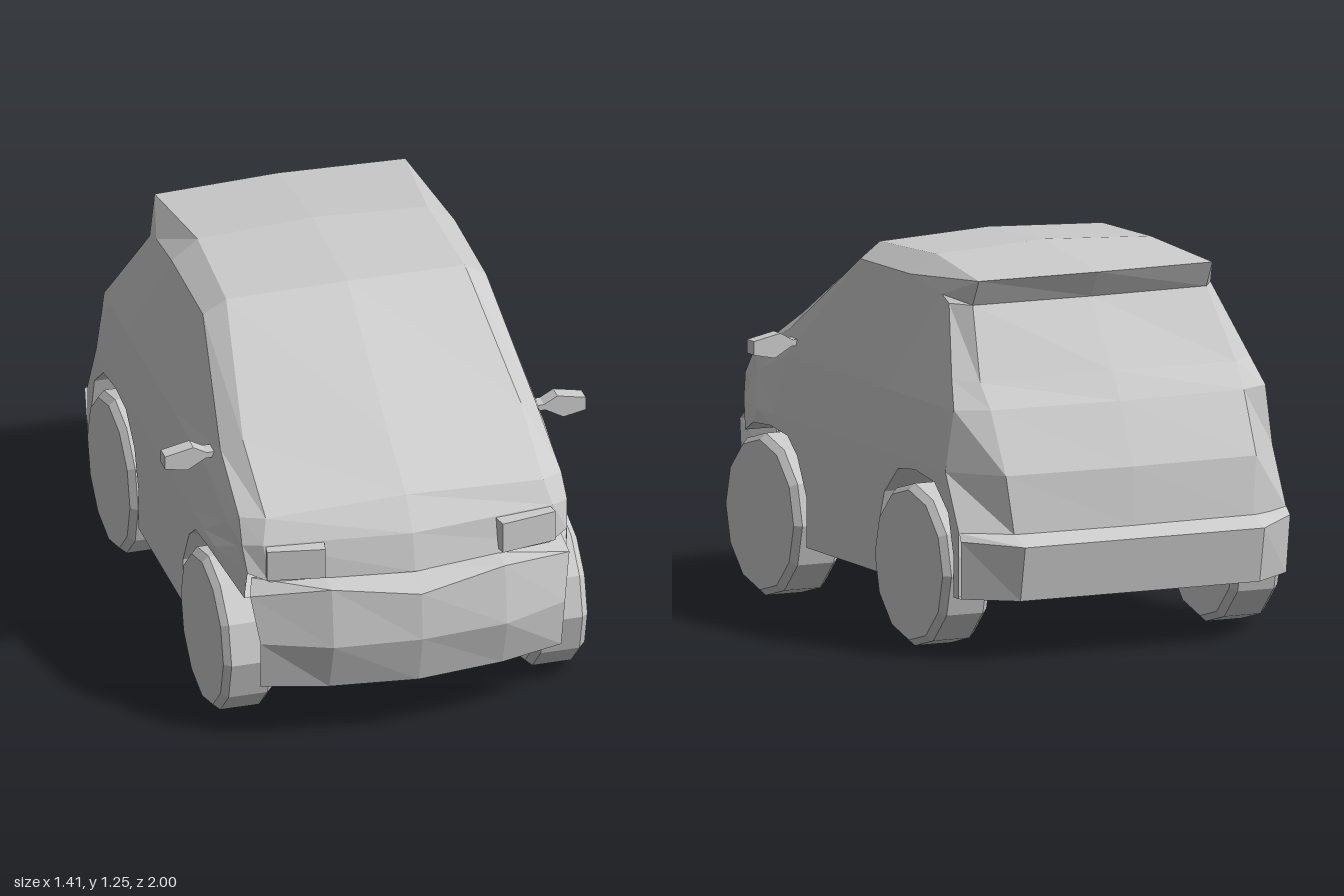
import * as THREE from 'three';

const mat = new THREE.MeshStandardMaterial({ color: 0xcccccc, flatShading: true, side: THREE.DoubleSide });

function mesh(name, geo, parent) {
  const m = new THREE.Mesh(geo, mat);
  m.name = name;
  parent.add(m);
  return m;
}

// Skin a grid of [x, y, z] rows
function skin(rows) {
  const n = rows[0].length, index = [];
  for (let i = 0; i < rows.length - 1; i++) {
    for (let j = 0; j < n - 1; j++) {
      const a = i * n + j, b = a + 1, c = a + n, d = c + 1;
      index.push(a, b, c, b, d, c);
    }
  }
  const g = new THREE.BufferGeometry();
  g.setAttribute('position', new THREE.Float32BufferAttribute(rows.flat(2), 3));
  g.setIndex(index);
  const flat = g.toNonIndexed();
  flat.computeVertexNormals();
  return flat;
}

// Complete a half row (centre outwards) with its mirror image
const mirrorRow = row => [...row.slice(1).reverse().map(([x, y, z]) => [-x, y, z]), ...row];

const toShape = points => new THREE.Shape(points.map(p => new THREE.Vector2(...p)));

// Half width of the lower body, tapering toward the nose
const sideX = z => 0.588 - Math.max(0, z - 0.62) * 0.265;

// Half row of the upper body: centre, panel edge, bevel edge, then waist and lower side by rule
function bodyRow([cy, cz, ax, ay, az, bx, by, bz, lowZ]) {
  const lowY = Math.min(0.6, by);
  const waistY = Math.min(0.8, THREE.MathUtils.lerp(lowY, by, 0.7));
  const t = by > lowY ? (waistY - lowY) / (by - lowY) : 0;
  const waistZ = THREE.MathUtils.lerp(lowZ, bz, t);
  const waistX = sideX(waistZ) - 0.12 * (waistY - lowY);
  return [[0, cy, cz], [ax, ay, az], [bx, by, bz], [waistX, waistY, waistZ], [sideX(lowZ), lowY, lowZ]];
}

// Shape drawn in (z, y) and placed on the side at x = widthAt(z)
function sidePanel(points, s, widthAt) {
  const g = new THREE.ShapeGeometry(toShape(points));
  const p = g.attributes.position;
  for (let i = 0; i < p.count; i++) {
    const z = p.getX(i);
    p.setXYZ(i, s * widthAt(z), p.getY(i), z);
  }
  if (s > 0) { // face outwards on the left side
    const a = g.index.array;
    for (let i = 0; i < a.length; i += 3) [a[i], a[i + 1]] = [a[i + 1], a[i]];
  }
  g.computeVertexNormals();
  return g;
}

export function createModel() {
  const car = new THREE.Group();
  car.name = 'car';

  // Upper body stations from nose over the roof to the tail:
  // centre y z, panel edge x y z, bevel edge x y z, lower side z
  const stations = [
    [.575, .915, .47, .575, .85, .535, .6, .82, .82],
    [.70, .885, .485, .70, .83, .545, .69, .79, .62],
    [.80, .805, .465, .775, .79, .54, .765, .74, .5],
    [.915, .61, .465, .92, .53, .53, .88, .49, .38],
    [1.225, .13, .40, 1.21, .11, .475, 1.16, .10, .05],
    [1.245, -.27, .385, 1.225, -.27, .475, 1.165, -.26, -.27],
    [1.197, -.665, .42, 1.195, -.645, .465, 1.13, -.47, -.48],
    [1.11, -.61, .42, 1.11, -.60, .47, 1.11, -.53, -.55],
    [.89, -.76, .46, .88, -.735, .535, .89, -.68, -.64],
    [.80, -.82, .455, .80, -.80, .56, .8, -.745, -.70],
    [.60, -.915, .45, .60, -.90, .588, .6, -.74, -.74],
    [.41, -.93, .43, .41, -.92, .588, .41, -.84, -.84],
  ];
  mesh('upperBody', skin(stations.map(bodyRow).map(mirrorRow)), car);

  // Bumpers
  const front = [
    [[0, .2, .955], [.29, .2, .92], [.505, .2, .86], [.42, .2, .84]],
    [[0, .37, 1], [.29, .37, .975], [.51, .37, .885], [.42, .37, .84]],
    [[0, .53, .988], [.29, .57, .95], [.535, .53, .85], [.42, .53, .80]],
    [[0, .577, .90], [.29, .577, .87], [.52, .577, .81], [.42, .577, .78]],
  ];
  const rear = [
    [[0, .415, -.92], [.43, .415, -.91], [.588, .415, -.84]],
    [[0, .38, -1], [.43, .38, -1], [.592, .39, -.86]],
    [[0, .2, -.965], [.43, .2, -.965], [.585, .2, -.845]],
  ];
  mesh('frontBumper', skin(front.map(mirrorRow)), car);
  mesh('rearBumper', skin(rear.map(mirrorRow)), car);

  // Floor, notched around the wheels
  const half = [[.29, .92], [.505, .86], [.42, .84], [.42, .26], [.588, .26], [.588, -.25],
    [.42, -.25], [.42, -.8], [.588, -.8], [.585, -.845], [.43, -.965]];
  const outline = [[0, .955], ...half, ...half.slice().reverse().map(([x, z]) => [-x, z])];
  mesh('floor', new THREE.ShapeGeometry(toShape(outline)).rotateX(Math.PI / 2).translate(0, .2, 0), car);

  // Wheel arch outlines in (z, y)
  const frontArch = [[.84, .2], [.85, .38], [.80, .50], [.68, .545], [.52, .56], [.40, .545],
    [.33, .49], [.26, .36], [.26, .2]];
  const rearArch = [[-.25, .2], [-.25, .33], [-.30, .47], [-.40, .56], [-.52, .575], [-.66, .555],
    [-.76, .47], [-.80, .33], [-.80, .2]];
  const frontLip = frontArch.slice(2); // the front arch is open toward the bumper
  const lower = [[.82, .6], ...frontLip, ...rearArch, [-.84, .2], [-.84, .41], [-.74, .6], [.62, .6]];

  // Door mirror outline in (x, y)
  const mirrorShape = toShape([[.53, .835], [.57, .835], [.63, .80], [.705, .815], [.705, .86],
    [.61, .88], [.565, .855], [.53, .855]]);

  // Chamfered wheel profile
  const wheelProfile = [[0, -.087], [.245, -.087], [.265, -.065], [.265, .065], [.245, .087], [0, .087]]
    .map(p => new THREE.Vector2(...p));

  for (const s of [1, -1]) {
    const side = s > 0 ? 'left' : 'right';
    mesh(side + 'LowerSide', sidePanel(lower, s, sideX), car);

    for (const [end, arch, lip, z] of [['Front', frontArch, frontLip, .555], ['Rear', rearArch, rearArch, -.52]]) {
      // Wheel well lining and back wall
      mesh(side + end + 'WheelWell', skin([
        lip.map(([pz, y]) => [s * sideX(pz), y, pz]),
        lip.map(([pz, y]) => [s * .42, y, pz]),
      ]), car);
      mesh(side + end + 'WellWall', sidePanel(arch, s, () => .42), car);

      const wheel = mesh(side + end + 'Wheel', new THREE.LatheGeometry(wheelProfile, 12), car);
      wheel.rotation.z = Math.PI / 2;
      wheel.position.set(s * .523, .265, z);
    }

    // Headlight set into the nose
    const lamp = mesh(side + 'Headlight', new THREE.BoxGeometry(.19, .105, .06), car);
    lamp.position.set(s * .385, .643, .855);
    lamp.rotation.y = s * .18;

    // Door mirror
    const m = mesh(side + 'Mirror', new THREE.ExtrudeGeometry(mirrorShape, { depth: .05, bevelEnabled: false }), car);
    m.position.z = s > 0 ? .405 : .455;
    m.rotation.y = s > 0 ? 0 : Math.PI;
  }
  return car;
}
